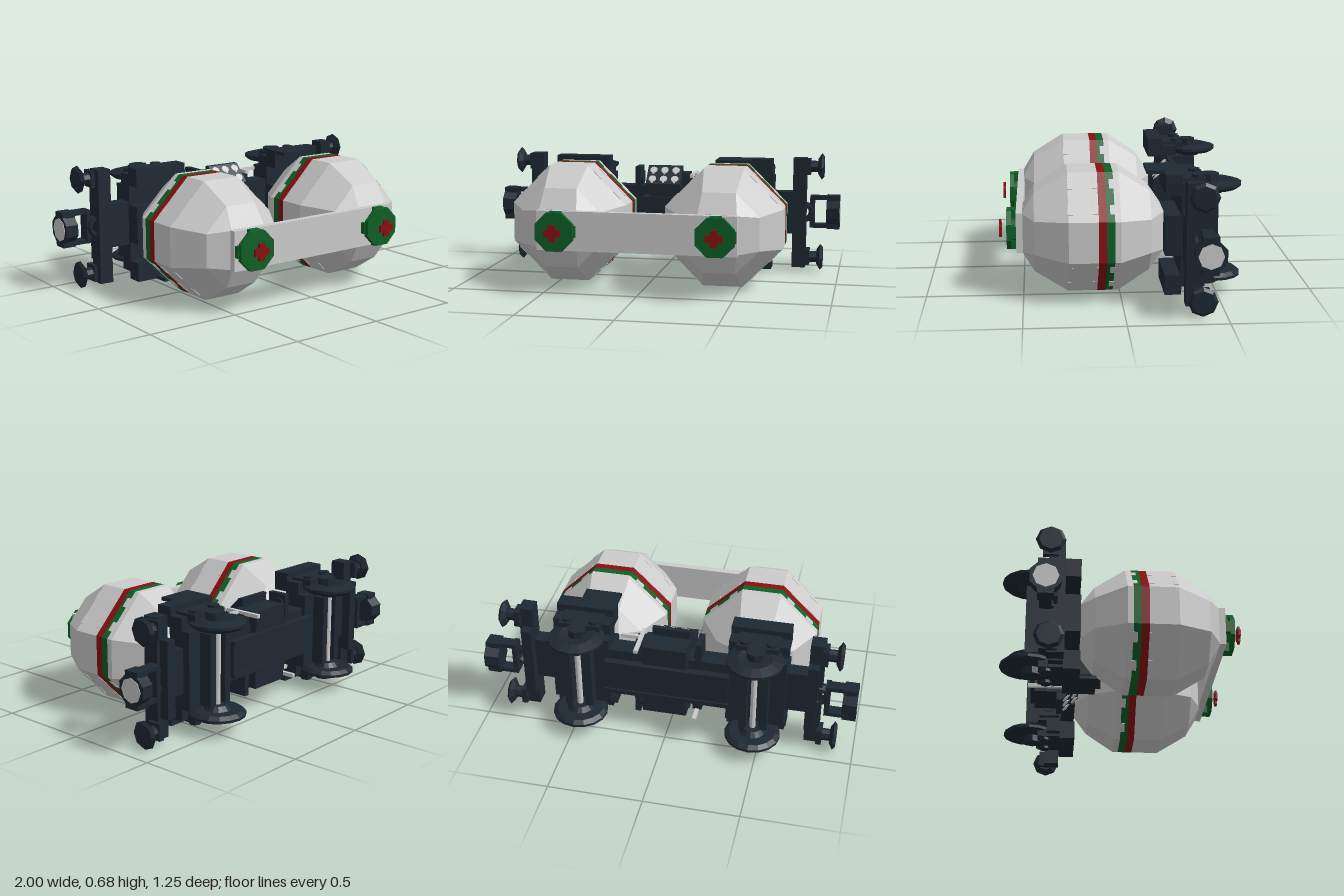
import * as THREE from 'three';

const mat = (color) => new THREE.MeshStandardMaterial({ color, flatShading: true, side: THREE.DoubleSide });
const GREY = mat(0xcccccc), DARK = mat(0x1d2831), GREEN = mat(0x0d6026), RED = mat(0x8a0f10);

function add(parent, name, geo, m, x = 0, y = 0, z = 0) {
  const mesh = new THREE.Mesh(geo, m);
  mesh.name = name;
  mesh.position.set(x, y, z);
  parent.add(mesh);
  return mesh;
}

// box given by its low and high limits on each axis
function span(parent, name, m, x0, x1, y0, y1, z0, z1) {
  return add(parent, name, new THREE.BoxGeometry(Math.abs(x1 - x0), Math.abs(y1 - y0), Math.abs(z1 - z0)), m,
    (x0 + x1) / 2, (y0 + y1) / 2, (z0 + z1) / 2);
}

// cylinder lying along the chosen axis
function rod(parent, name, m, axis, r0, r1, len, x, y, z, sides = 8) {
  const geo = new THREE.CylinderGeometry(r1, r0, len, sides);
  if (axis === 'x') geo.rotateZ(-Math.PI / 2);
  if (axis === 'z') geo.rotateX(Math.PI / 2);
  return add(parent, name, geo, m, x, y, z);
}

// loft of chamfered squares; each section is [z, half size, half flat]
function loft(sections) {
  const pos = [], idx = [];
  for (const [z, a, f] of sections) {
    for (const [x, y] of [[a, -f], [a, f], [f, a], [-f, a], [-a, f], [-a, -f], [-f, -a], [f, -a]]) pos.push(x, y, z);
  }
  const n = sections.length;
  for (let s = 0; s < n - 1; s++) {
    for (let i = 0; i < 8; i++) {
      const a = s * 8 + i, b = s * 8 + (i + 1) % 8;
      idx.push(a, b, b + 8, a, b + 8, a + 8);
    }
  }
  const last = (n - 1) * 8;
  for (let i = 1; i < 7; i++) idx.push(0, i + 1, i, last, last + i, last + i + 1);
  const geo = new THREE.BufferGeometry();
  geo.setAttribute('position', new THREE.Float32BufferAttribute(pos, 3));
  geo.setIndex(idx);
  const flat = geo.toNonIndexed();
  flat.computeVertexNormals();
  return flat;
}

function makeTank() {
  const g = new THREE.Group();
  g.name = 'tank';
  const R = 0.313, F = 0.105;
  add(g, 'tankRear', loft([[-0.22, 0.105, 0.1], [-0.15, 0.21, 0.087], [0.01, R, F], [0.04, R, F]]), GREY);
  add(g, 'greenBand', loft([[0.04, R, F], [0.08, R, F]]), GREEN);
  add(g, 'redBand', loft([[0.08, R, F], [0.12, R, F]]), RED);
  add(g, 'tankFront', loft([[0.12, R, F], [0.27, R, F], [0.44, 0.21, 0.087], [0.5, 0.105, 0.1]]), GREY);
  // small clips on the chamfered panels
  for (let q = 0; q < 4; q++) {
    const panel = new THREE.Group();
    panel.rotation.z = Math.PI / 4 + q * Math.PI / 2;
    for (const z of [0.05, 0.135, 0.26]) {
      for (const t of [-0.075, 0.075]) add(panel, 'clip', new THREE.BoxGeometry(0.012, 0.055, 0.025), GREY, 0.292, t, z);
    }
    g.add(panel);
  }
  // end cap: notched octagonal disc and small red cross
  const disc = rod(g, 'capDisc', GREEN, 'z', 0.109, 0.109, 0.024, 0, 0, 0.57);
  disc.rotation.z = Math.PI / 8;
  rod(g, 'capCore', GREEN, 'z', 0.07, 0.07, 0.028, 0, 0, 0.546);
  for (let q = 0; q < 4; q++) {
    const a = q * Math.PI / 2;
    const rim = add(g, 'capRim', new THREE.BoxGeometry(0.05, 0.06, 0.028), GREEN, 0.08 * Math.cos(a), 0.08 * Math.sin(a), 0.546);
    rim.rotation.z = a;
  }
  rod(g, 'redHub', RED, 'z', 0.032, 0.032, 0.014, 0, 0, 0.615);
  for (let q = 0; q < 2; q++) {
    const arm = add(g, 'redCross', new THREE.BoxGeometry(0.088, 0.036, 0.013), RED, 0, 0, 0.615);
    arm.rotation.z = q * Math.PI / 2;
  }
  return g;
}

function makeWheelset() {
  const g = new THREE.Group();
  g.name = 'wheelset';
  rod(g, 'axle', GREY, 'y', 0.016, 0.016, 0.46, 0, 0, -0.48, 10);
  const profile = [[0, 0.19], [0.05, 0.19], [0.07, 0.215], [0.125, 0.215], [0.147, 0.232], [0.147, 0.246], [0.09, 0.262], [0.04, 0.25], [0, 0.25]];
  for (const s of [1, -1]) {
    const wheel = add(g, 'wheel', new THREE.LatheGeometry(profile.map(([r, y]) => new THREE.Vector2(r, y)), 16), DARK, 0, 0, -0.48);
    if (s < 0) wheel.rotation.x = Math.PI;
  }
  return g;
}

function makeBogie() {
  const g = new THREE.Group();
  g.name = 'bogie';
  span(g, 'bolster', DARK, -0.155, 0.155, -0.205, 0.205, -0.43, -0.3);
  span(g, 'saddle', DARK, -0.155, 0.155, -0.105, 0.105, -0.3, -0.22);
  for (const s of [1, -1]) {
    span(g, 'axleCradle', DARK, s * 0.035, s * 0.075, -0.19, 0.19, -0.5, -0.43);
    span(g, 'sideBlock', DARK, -0.155, 0.155, s * 0.21, s * 0.313, -0.305, -0.22);
    span(g, 'sidePlate', DARK, -0.155, 0.155, s * 0.19, s * 0.27, -0.38, -0.3);
    // stepped axle box outside the wheel
    span(g, 'axleBox', DARK, -0.11, 0.11, s * 0.24, s * 0.285, -0.43, -0.3);
    rod(g, 'axleCap', DARK, 'y', 0.05, 0.05, 0.04, 0, s * 0.27, -0.46);
    for (const t of [-0.07, 0.07]) rod(g, 'springCup', DARK, 'y', 0.03, 0.03, 0.03, t, s * 0.285, -0.39);
  }
  g.add(makeWheelset());
  return g;
}

// buffer beam, two buffers and the coupler, built for the +x end
function makeCarEnd() {
  const g = new THREE.Group();
  g.name = 'carEnd';
  span(g, 'endLink', DARK, 0.6, 0.76, -0.12, 0.12, -0.39, -0.31);
  span(g, 'bufferBeam', DARK, 0.735, 0.81, -0.313, 0.313, -0.39, -0.305);
  span(g, 'beamBack', DARK, 0.735, 0.79, -0.2, 0.2, -0.44, -0.38);
  for (const s of [1, -1]) {
    span(g, 'bufferSocket', DARK, 0.8, 0.83, s * 0.215, s * 0.305, -0.42, -0.34);
    rod(g, 'bufferStem', DARK, 'x', 0.032, 0.032, 0.08, 0.85, s * 0.262, -0.38);
    rod(g, 'bufferHead', DARK, 'x', 0.045, 0.076, 0.02, 0.882, s * 0.262, -0.38);
    rod(g, 'bufferFace', DARK, 'x', 0.076, 0.06, 0.014, 0.899, s * 0.262, -0.38);
    span(g, 'couplerArm', DARK, 0.83, 0.94, s * 0.07, s * 0.092, -0.43, -0.37);
  }
  const ring = add(g, 'couplerPivot', new THREE.TorusGeometry(0.045, 0.017, 6, 12), DARK, 0.795, 0, -0.37);
  ring.scale.z = 2;
  span(g, 'couplerYoke', DARK, 0.83, 0.855, -0.09, 0.09, -0.43, -0.36);
  const cup = rod(g, 'couplerCup', DARK, 'x', 0.075, 0.085, 0.075, 0.961, 0, -0.4);
  cup.rotation.x = Math.PI / 8;
  for (const s of [1, -1]) span(g, 'cupCheek', DARK, 0.925, 0.998, s * 0.065, s * 0.095, -0.44, -0.36);
  rod(g, 'couplerFace', GREY, 'x', 0.064, 0.064, 0.004, 0.999, 0, -0.4);
  return g;
}

// sloped panel with six pale dials, on the upper side of the centre
function makePanel() {
  const g = new THREE.Group();
  g.name = 'controlPanel';
  const side = new THREE.Shape([[0.33, 0.12], [0.33, 0.255], [0.305, 0.255], [0.21, 0.16], [0.21, 0.12]].map(([z, y]) => new THREE.Vector2(z, y)));
  const wedge = new THREE.ExtrudeGeometry(side, { depth: 0.2, bevelEnabled: false });
  wedge.rotateY(Math.PI / 2);
  add(g, 'slopeBlock', wedge, DARK, -0.1, 0, 0);
  const face = new THREE.Group();
  face.position.set(0, 0.2085, -0.2575);
  face.rotation.x = Math.PI / 4;
  for (const x of [-0.065, 0, 0.065]) {
    for (const z of [-0.032, 0.032]) {
      add(face, 'dial', new THREE.CylinderGeometry(0.022, 0.022, 0.008, 10), GREY, x, 0, z);
      add(face, 'dialTail', new THREE.BoxGeometry(0.012, 0.007, 0.026), GREY, x, 0, z + 0.016);
    }
  }
  g.add(face);
  return g;
}

export function createModel() {
  const root = new THREE.Group(), car = new THREE.Group();
  root.name = 'twinTankRailCar';
  car.name = 'railCar';
  car.position.y = 0.342;
  root.add(car);

  // twin tanks and the walkway bar across their ends
  for (const s of [1, -1]) {
    const tank = makeTank();
    tank.position.x = s * 0.418;
    car.add(tank);
    const bogie = makeBogie();
    bogie.position.x = s * 0.47;
    car.add(bogie);
  }
  span(car, 'walkway', GREY, -0.525, 0.525, -0.104, 0.104, 0.495, 0.533);

  // the two halves repeat by a half turn about the z axis
  for (const turn of [0, Math.PI]) {
    const half = new THREE.Group();
    half.name = 'halfChassis';
    half.rotation.z = turn;
    half.add(makeCarEnd(), makePanel());
    span(half, 'stepPlate', DARK, 0.315, 0.51, 0.295, 0.313, -0.23, -0.135);
    span(half, 'beamFlange', DARK, -0.33, 0.33, 0.1, 0.135, -0.41, -0.31);
    span(half, 'beamRail', DARK, -0.33, 0.33, 0.075, 0.1, -0.475, -0.435);
    // brake cylinder on one side, brake lever on the other
    rod(half, 'brakeCylinder', DARK, 'x', 0.045, 0.045, 0.035, -0.16, 0.18, -0.37);
    span(half, 'brakeBracket', DARK, -0.18, -0.15, 0.08, 0.245, -0.42, -0.31);
    span(half, 'brakeLever', GREY, 0.145, 0.165, 0.19, 0.21, -0.485, -0.28);
    span(half, 'leverHandle', GREY, 0.15, 0.26, 0.19, 0.21, -0.36, -0.345);
    span(half, 'leverPost', DARK, 0.13, 0.18, 0.1, 0.195, -0.4, -0.31);
    // open frame reaching forward between the tanks
    span(half, 'frameArm', DARK, 0.07, 0.095, -0.1, 0.1, -0.32, -0.085);
    span(half, 'frameFront', DARK, -0.07, 0.07, 0.02, 0.1, -0.115, -0.09);
    car.add(half);
  }
  span(car, 'centreBeam', DARK, -0.33, 0.33, -0.105, 0.105, -0.41, -0.31);
  span(car, 'beamCover', DARK, -0.33, 0.33, -0.08, 0.08, -0.465, -0.445);
  span(car, 'centreBlock', DARK, -0.105, 0.13, -0.21, 0.21, -0.45, -0.31);
  span(car, 'frameRoot', DARK, -0.095, 0.095, -0.12, 0.12, -0.32, -0.21);
  return root;
}
